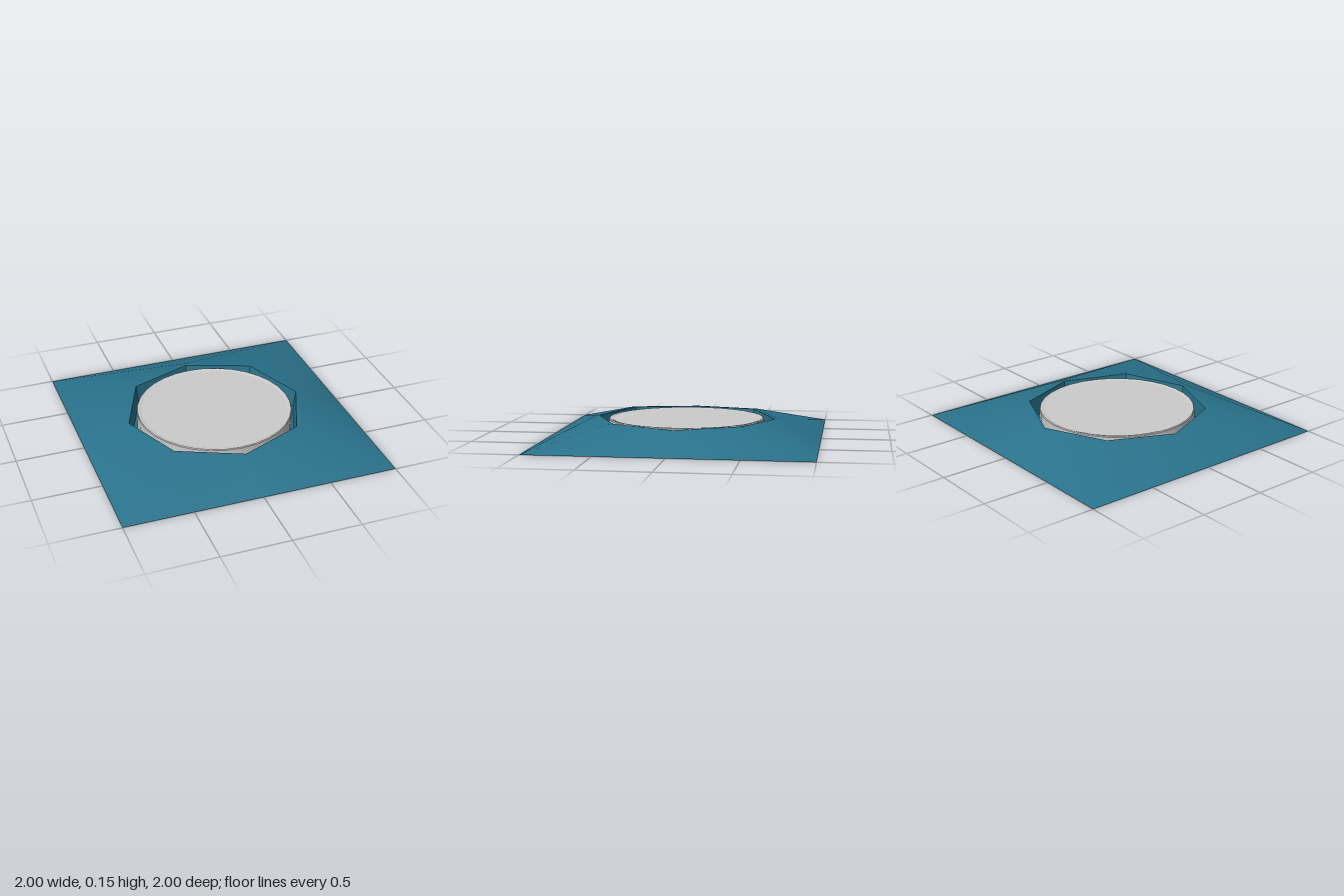
import * as THREE from 'three';

const teal = new THREE.MeshStandardMaterial({ color: 0x29728b });
const grey = new THREE.MeshStandardMaterial({ color: 0xcccccc });

// Eight-point loop: axis points use radius a, diagonal points sit at (d, d).
function octagon(a, ya, d, yd) {
  return Array.from({ length: 8 }, (_, i) => {
    const t = (i * Math.PI) / 4;
    const odd = i % 2 === 1;
    const r = odd ? d * Math.SQRT2 : a;
    return [r * Math.cos(t), odd ? yd : ya, r * Math.sin(t)];
  });
}

// Smooth skin joining successive loops, from the outside inwards.
function skin(loops) {
  const index = [];
  for (let k = 0; k < loops.length - 1; k++) {
    for (let i = 0; i < 8; i++) {
      const j = (i + 1) % 8;
      const a = k * 8 + i, b = k * 8 + j, c = a + 8, d = b + 8;
      // split every quad from its diagonal outer corner
      if (i % 2) index.push(a, c, d, a, d, b);
      else index.push(a, c, b, b, c, d);
    }
  }
  const g = new THREE.BufferGeometry();
  g.setAttribute('position', new THREE.Float32BufferAttribute(loops.flat(2), 3));
  g.setIndex(index);
  g.computeVertexNormals();
  return g;
}

function add(group, name, geometry, material) {
  const mesh = new THREE.Mesh(geometry, material);
  mesh.name = name;
  group.add(mesh);
  return mesh;
}

export function createModel() {
  const group = new THREE.Group();
  group.name = 'pedestal';
  const floorY = 0.01;

  const foot = octagon(1, 0, 1, 0);
  const shoulder = octagon(0.69, 0.136, 0.49, 0.147);
  const lip = octagon(0.657, 0.138, 0.465, 0.147);
  const pit = octagon(0.64, floorY, 0.453, floorY);

  // Sloping square base rising to an octagonal lip
  add(group, 'slopedBase', skin([foot, shoulder, lip]), teal);

  // Steep faceted wall inside the lip
  const wall = skin([lip, pit]).toNonIndexed();
  wall.computeVertexNormals();
  add(group, 'pitWall', wall, teal);

  // Floor of the recess
  const floor = new THREE.CircleGeometry(0.64, 8).rotateX(-Math.PI / 2);
  add(group, 'pitFloor', floor, teal).position.y = floorY;

  // Flat underside
  add(group, 'underside', new THREE.PlaneGeometry(2, 2).rotateX(Math.PI / 2), teal);

  // Round plate with a slim rim; each profile segment is its own band for crisp edges
  const profile = [[0.575, floorY], [0.575, 0.134], [0.57, 0.14], [0.555, 0.14], [0.545, 0.136], [0, 0.136]];
  const plate = new THREE.Group();
  plate.name = 'roundPlate';
  const names = ['plateSide', 'rimBevel', 'rimTop', 'rimInnerBevel', 'plateTop'];
  names.forEach((name, i) => {
    const pts = [profile[i], profile[i + 1]].map(([r, y]) => new THREE.Vector2(r, y));
    add(plate, name, new THREE.LatheGeometry(pts, 32), grey);
  });
  group.add(plate);
  return group;
}
